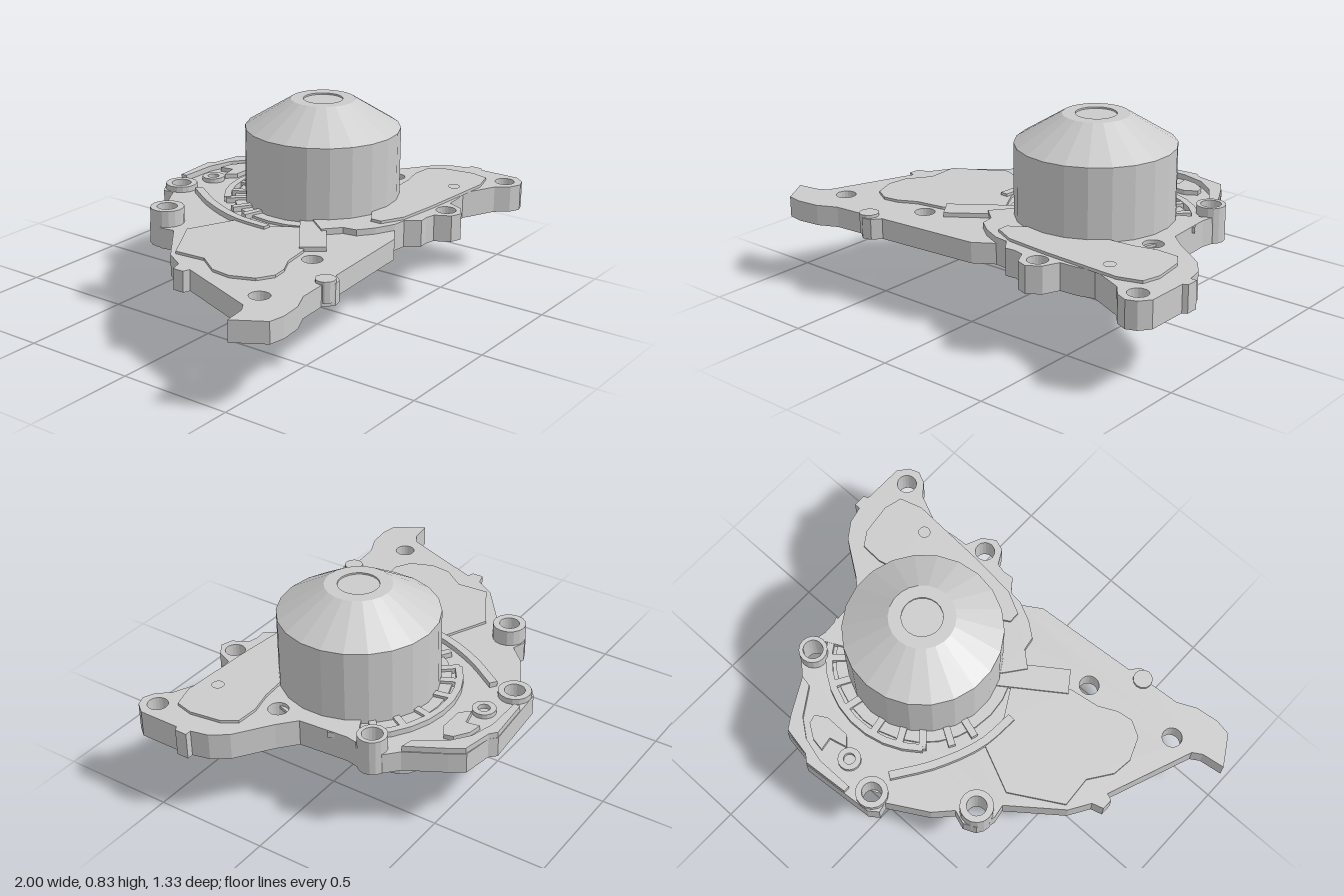
import * as THREE from 'three';

const mat = new THREE.MeshStandardMaterial({ color: 0xcccccc });
const flatMat = new THREE.MeshStandardMaterial({ color: 0xcccccc, flatShading: true, side: THREE.DoubleSide });
const V = (p) => new THREE.Vector2(p[0], p[1]);

export function createModel() {
  const model = new THREE.Group();

  // Flat slab from an x/z outline between two heights, with round holes [x, z, r]
  function slab(name, pts, bottom, top, holes = []) {
    const shape = new THREE.Shape(pts.map(V));
    for (const [x, z, r] of holes) {
      const h = new THREE.Path();
      h.absarc(x, z, r, 0, Math.PI * 2, true);
      shape.holes.push(h);
    }
    const geo = new THREE.ExtrudeGeometry(shape, { depth: top - bottom, bevelEnabled: false, curveSegments: 10 });
    geo.rotateX(Math.PI / 2).translate(0, top, 0);
    const mesh = new THREE.Mesh(geo, mat);
    mesh.name = name;
    model.add(mesh);
  }
  const circle = (x, z, r, n = 16) => Array.from({ length: n }, (_, i) => {
    const a = (i / n) * Math.PI * 2;
    return [x + r * Math.cos(a), z + r * Math.sin(a)];
  });
  // Ribbon of constant width along a polyline
  function ribbon(pts, width) {
    const a = [], b = [];
    pts.forEach((p, i) => {
      const q = V(pts[Math.min(i + 1, pts.length - 1)]).sub(V(pts[Math.max(i - 1, 0)])).normalize();
      a.push([p[0] - q.y * width / 2, p[1] + q.x * width / 2]);
      b.unshift([p[0] + q.y * width / 2, p[1] - q.x * width / 2]);
    });
    return a.concat(b);
  }
  function lathe(name, x, z, profile, sides) {
    const mesh = new THREE.Mesh(new THREE.LatheGeometry(profile.map(V), sides), flatMat);
    mesh.position.set(x, 0, z);
    mesh.name = name;
    model.add(mesh);
  }

  // Mounting plate outline: left arm and back edge, then the thicker right arm
  const backEdge = [
    [-1, 0.515], [-0.9, 0.5], [-0.86, 0.475], [-0.715, 0.095], [-0.745, 0.085], [-0.745, 0.035],
    [-0.695, 0.02], [-0.64, -0.07], [-0.425, -0.24], [-0.435, -0.3], [-0.41, -0.385], [-0.355, -0.41],
    [-0.295, -0.39], [-0.225, -0.465], [-0.055, -0.565], [-0.065, -0.61], [-0.025, -0.64], [0.305, -0.668],
    [0.335, -0.64], [0.465, -0.62], [0.505, -0.56], [0.595, -0.4], [0.65, -0.35], [0.685, -0.29],
  ];
  const rightArm = [
    [0.67, -0.24], [0.66, -0.19], [0.675, 0.03], [0.75, 0.095], [0.9, 0.2], [0.95, 0.27], [0.968, 0.345],
    [0.995, 0.345], [0.995, 0.4], [0.975, 0.41], [0.975, 0.595], [0.94, 0.64], [0.895, 0.657], [0.845, 0.635],
    [0.8, 0.58], [0.645, 0.51], [0.575, 0.53], [0.495, 0.535], [0.465, 0.605], [0.41, 0.642], [0.36, 0.625],
    [0.325, 0.56], [0.28, 0.55], [0.235, 0.555], [0.19, 0.497], [0.13, 0.49],
  ];
  const frontEdge = [
    [0.045, 0.545], [-0.42, 0.582], [-0.45, 0.62], [-0.49, 0.63], [-0.535, 0.595], [-0.665, 0.605],
    [-0.75, 0.645], [-0.85, 0.657], [-0.92, 0.645],
  ];
  const outline = [...backEdge, ...rightArm, ...frontEdge];
  const R = 0.043;
  const armBolts = [[0.655, 0.15, R], [0.41, 0.567, R], [0.895, 0.577, R]];
  const bolts = [...armBolts, [-0.755, 0.47, R], [-0.34, 0.41, R], [0.013, -0.573, R], [-0.36, -0.33, R], [0.63, -0.29, R]];
  const pockets = [[0.73, 0.338, 0.11], [-0.52, 0.143, 0.11]];

  // Lower layer has the two round pockets; upper layer closes them
  slab('plateLower', outline, 0.285, 0.345, [...bolts, ...pockets]);
  slab('plateUpper', outline, 0.345, 0.375, bolts);
  slab('rightArmPad', [...rightArm, [0.045, 0.45], [-0.02, 0.4], [-0.03, 0.34], [-0.1, 0.28], [0, 0.15], [0.2, 0]],
    0.374, 0.402, armBolts);
  slab('rightArmIsland', [[0.2, 0.33], [0.1, 0.39], [0.1, 0.44], [0.2, 0.49], [0.4, 0.51], [0.76, 0.53], [0.86, 0.5],
    [0.88, 0.42], [0.86, 0.28], [0.82, 0.22], [0.72, 0.215], [0.62, 0.24], [0.5, 0.25]], 0.4, 0.414, [[0.668, 0.45, 0.025]]);
  slab('leftArmIsland', [[-0.62, -0.06], [-0.61, 0.08], [-0.68, 0.18], [-0.69, 0.27], [-0.65, 0.37], [-0.58, 0.41],
    [-0.51, 0.4], [-0.43, 0.36], [-0.3, 0.34], [-0.1, 0.17], [-0.17, 0.05], [-0.2, -0.1], [-0.4, -0.19]], 0.374, 0.386);

  // Raised bolt bosses
  for (const [x, z, r, top] of [[-0.36, -0.33, 0.072, 0.445], [0.63, -0.29, 0.062, 0.44], [0.013, -0.573, 0.07, 0.4]]) {
    slab('boltBoss', circle(x, z, r), 0.285, top, [[x, z, R]]);
  }
  slab('frontNub', circle(-0.493, 0.585, 0.042, 12), 0.3, 0.388);

  // Diagonal channel, raised above and below the plate
  slab('channel', ribbon([[0.05, 0.13], [-0.27, 0.36]], 0.11), 0.265, 0.288);
  slab('channelTop', ribbon([[0.05, 0.13], [-0.27, 0.36]], 0.11), 0.374, 0.394);

  // Curved wall and radial ribs around the drum
  const cx = 0.265, cz = 0.022;
  const wall = new THREE.CatmullRomCurve3([[-0.195, 0.07], [-0.18, -0.1], [-0.1, -0.3], [0.01, -0.47]]
    .map(([x, z]) => new THREE.Vector3(x, 0, z))).getPoints(10).map((p) => [p.x, p.z]);
  slab('curvedWall', ribbon(wall, 0.035), 0.374, 0.398);
  slab('drumFoot', circle(cx, cz, 0.385, 28), 0.374, 0.386);
  const arc = Array.from({ length: 11 }, (_, i) => {
    const a = -2.3 + i * 0.2;
    return [cx + 0.415 * Math.cos(a), cz + 0.415 * Math.sin(a)];
  });
  slab('backRingWall', ribbon(arc, 0.03), 0.374, 0.4);
  for (const a of [-2.85, -2.6, -2.3, -2.05, -1.75, -1.35, -1.05, -0.75, -0.5]) {
    const at = (r) => [cx + r * Math.cos(a), cz + r * Math.sin(a)];
    slab('radialRib', ribbon([at(0.32), at(0.42)], 0.03), 0.374, 0.398);
  }

  // Back details: small drilled boss, oval pad and edge rim
  slab('drilledBoss', circle(0.185, -0.53, 0.05), 0.374, 0.395, [[0.185, -0.53, 0.025]]);
  slab('backPad', [[0.23, -0.5], [0.31, -0.52], [0.3, -0.58], [0.36, -0.57], [0.42, -0.53], [0.43, -0.49], [0.38, -0.46], [0.27, -0.46]],
    0.374, 0.395);
  slab('backRim', [[0.1, -0.648], [0.305, -0.665], [0.335, -0.64], [0.465, -0.615], [0.505, -0.555], [0.59, -0.4],
    [0.54, -0.41], [0.46, -0.53], [0.38, -0.59], [0.27, -0.62], [0.1, -0.62]], 0.374, 0.4);

  // Drum with conical cap and shallow centre recess
  lathe('drum', cx, cz, [[0, 0.36], [0.337, 0.36], [0.337, 0.712], [0.14, 0.835], [0.086, 0.835], [0.086, 0.828], [0, 0.828]], 22);

  // Bowl-shaped bearing housing and hollow shaft stub underneath
  lathe('bearingHousing', 0.218, -0.152, [[0, 0.1], [0.137, 0.1], [0.185, 0.125], [0.225, 0.165], [0.255, 0.21],
    [0.27, 0.245], [0.36, 0.263], [0.44, 0.288], [0, 0.288]], 20);
  lathe('shaftStub', 0.218, -0.152, [[0, 0.06], [0.085, 0.06], [0.085, 0], [0.103, 0], [0.103, 0.105]], 18);

  return model;
}
